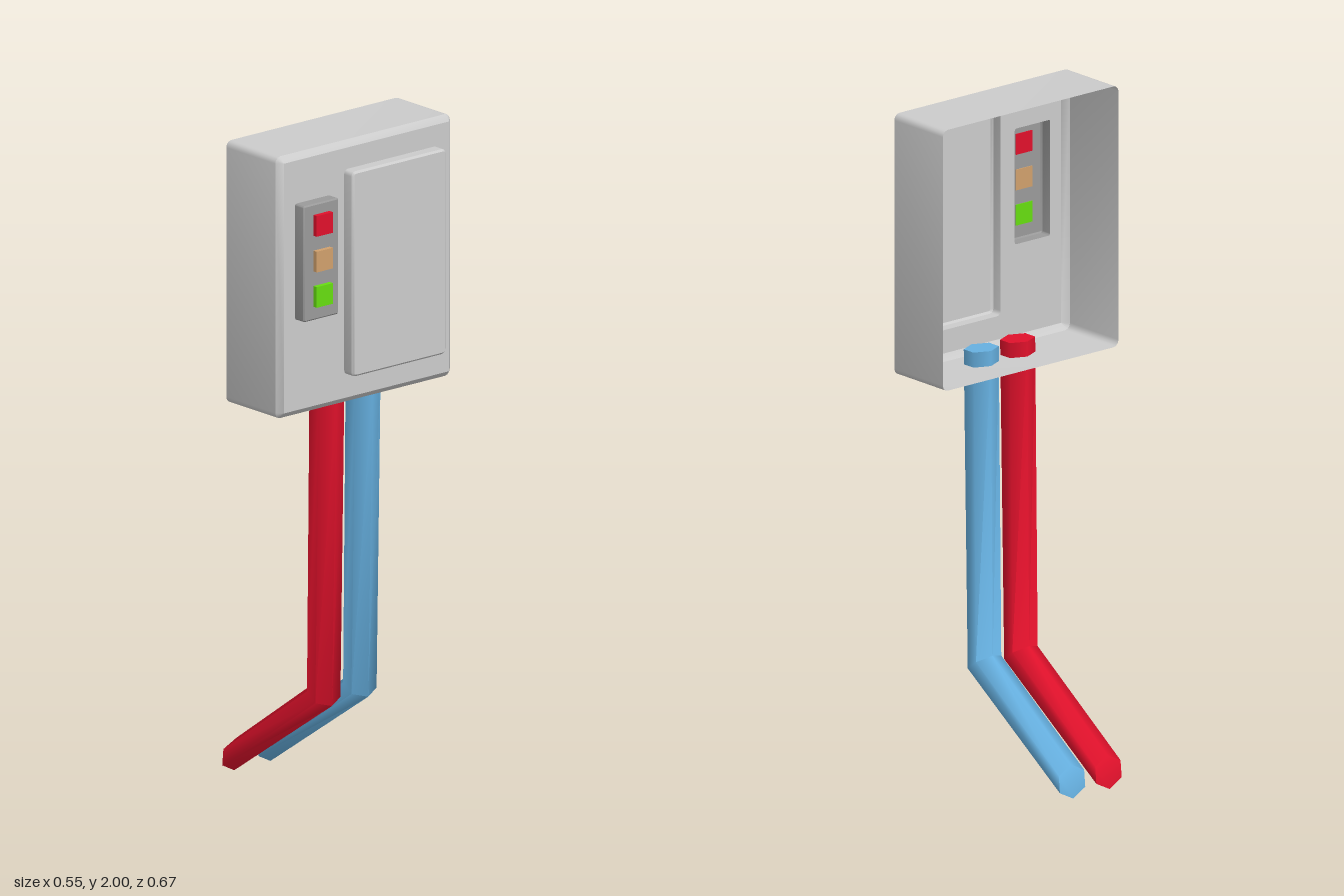
import * as THREE from 'three';
import { mergeGeometries, toCreasedNormals } from 'three/addons/utils/BufferGeometryUtils.js';

const V = (x, y, z) => new THREE.Vector3(x, y, z);

function paint(name, geometry, color) {
  const mat = new THREE.MeshStandardMaterial({ color, side: THREE.DoubleSide });
  const mesh = new THREE.Mesh(geometry, mat);
  mesh.name = name;
  return mesh;
}

// Skin between successive rings of points, with optional flat ends
function loft(rings, capped) {
  const pos = [];
  const tri = (...pts) => pts.forEach(p => pos.push(p.x, p.y, p.z));
  const n = rings[0].length;
  for (let k = 0; k + 1 < rings.length; k++) {
    const a = rings[k], b = rings[k + 1];
    for (let i = 0; i < n; i++) {
      const j = (i + 1) % n;
      tri(a[i], a[j], b[j]);
      tri(a[i], b[j], b[i]);
    }
  }
  if (capped) {
    const s = rings[0], e = rings[rings.length - 1];
    for (let i = 1; i + 1 < n; i++) {
      tri(s[0], s[i + 1], s[i]);
      tri(e[0], e[i], e[i + 1]);
    }
  }
  const g = new THREE.BufferGeometry();
  g.setAttribute('position', new THREE.Float32BufferAttribute(pos, 3));
  return g;
}

// Rounded rectangle seen from +x: horizontal axis is -z, vertical axis is y
function outline({ z0, z1, y0, y1, r }, inset = 0) {
  const pts = [];
  const rad = r - inset;
  const corners = [[-z0 - r, y1 - r], [-z1 + r, y1 - r], [-z1 + r, y0 + r], [-z0 - r, y0 + r]];
  corners.forEach(([u, v], k) => {
    for (let i = 0; i <= 3; i++) {
      const t = (k + i / 3) * Math.PI / 2;
      pts.push(new THREE.Vector2(u + rad * Math.cos(t), v + rad * Math.sin(t)));
    }
  });
  return pts;
}

// Thin hollow cover, open toward -x, with a chamfered front rim
function cover(rect, x0, x1, bevel, openings = []) {
  const ring = (x, inset) => outline(rect, inset).map(p => V(x, p.y, -p.x));
  const walls = loft([ring(x0, 0), ring(x1 - bevel, 0), ring(x1, bevel)]);
  const shape = new THREE.Shape(outline(rect, bevel));
  shape.holes = openings.map(o => new THREE.Path(outline(o).reverse()));
  const face = new THREE.ShapeGeometry(shape).toNonIndexed();
  face.rotateY(Math.PI / 2).translate(x1, 0, 0);
  face.deleteAttribute('uv');
  face.deleteAttribute('normal');
  return toCreasedNormals(mergeGeometries([walls, face]), 0.6);
}

// Bent six-sided pipe; each section runs from its inner to its outer corner
function pipe(z) {
  const sections = [
    [[-0.265, 0.1], [-0.275, 0.0]],
    [[0.078, 0.345], [0.15, 0.29]],
    [[0.0855, 1.26], [0.171, 1.26]],
  ];
  const steps = [[1, 0], [0.75, -1], [0.25, -1], [0, 0], [0.25, 1], [0.75, 1]];
  const rings = sections.map(([p, q]) => steps.map(([t, s]) =>
    V(p[0] + (q[0] - p[0]) * t, p[1] + (q[1] - p[1]) * t, z + s * 0.048)));
  return toCreasedNormals(loft(rings, true), 1.2);
}

export function createModel() {
  const model = new THREE.Group();
  model.name = 'controlBox';

  const caseRect = { z0: -0.333, z1: 0.333, y0: 1.215, y1: 2, r: 0.019 };
  const doorRect = { z0: -0.272, z1: 0.086, y0: 1.303, y1: 1.918, r: 0.014 };
  const panelRect = { z0: 0.139, z1: 0.273, y0: 1.505, y1: 1.853, r: 0.006 };

  // Open-backed case; the door and indicator panel are hollow from behind
  model.add(paint('case', cover(caseRect, -0.01, 0.221, 0.018, [doorRect, panelRect]), 0xcccccc));
  model.add(paint('door', cover(doorRect, 0.221, 0.259, 0.006), 0xcccccc));
  model.add(paint('indicatorPanel', cover(panelRect, 0.221, 0.259, 0.004), 0x9a9a9a));

  // Indicator lights
  const lights = [['redLight', 1.79, 0xe0112b], ['amberLight', 1.683, 0xd0a06c], ['greenLight', 1.577, 0x66dd11]];
  for (const [name, y, color] of lights) {
    const light = paint(name, new THREE.BoxGeometry(0.018, 0.062, 0.062), color);
    light.position.set(0.265, y, 0.206);
    model.add(light);
  }

  // Pipes leaving through the bottom of the case
  model.add(paint('redPipe', pipe(0.07), 0xe0112b));
  model.add(paint('bluePipe', pipe(-0.068), 0x66b0e0));
  return model;
}
